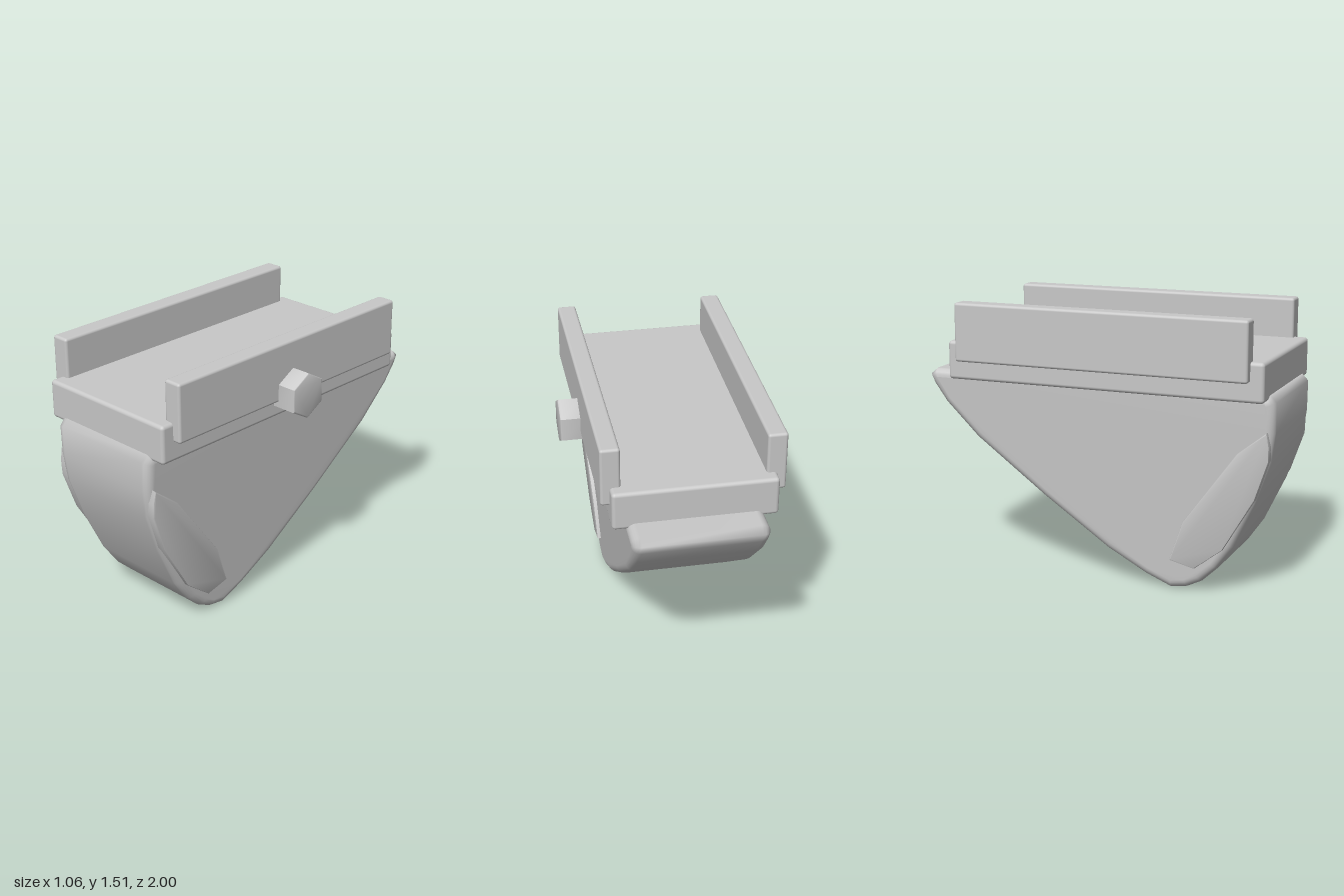
import * as THREE from 'three';
import { mergeVertices, toCreasedNormals } from 'three/addons/utils/BufferGeometryUtils.js';
import { RoundedBoxGeometry } from 'three/addons/geometries/RoundedBoxGeometry.js';

const MID_X = -0.053; // symmetry plane of the body
const HALF = 0.335;   // body half width before the taper

// Bevelled slab from a [z, y] outline, spanning x0 to x1
function slab(outline, x0, x1, bevel, segments) {
  const shape = new THREE.Shape(outline.map(([z, y]) => new THREE.Vector2(-z, y)));
  const geo = new THREE.ExtrudeGeometry(shape, {
    depth: x1 - x0 - 2 * bevel, bevelEnabled: true, bevelThickness: bevel,
    bevelSize: bevel, bevelOffset: -bevel, bevelSegments: segments,
  });
  geo.rotateY(Math.PI / 2);
  geo.translate(x0 + bevel, 0, 0);
  return geo;
}

// Narrow a slab towards the bottom
function taper(geo) {
  const p = geo.attributes.position;
  for (let i = 0; i < p.count; i++) {
    p.setX(i, MID_X + p.getX(i) * (0.31 + 0.041 * p.getY(i)) / HALF);
  }
  return geo;
}

// Area-weighted smooth normals: flat sides, soft bevels
function soften(geo) {
  geo.deleteAttribute('normal');
  geo.deleteAttribute('uv');
  const merged = mergeVertices(geo, 1e-4);
  merged.computeVertexNormals();
  return merged;
}

export function createModel() {
  const group = new THREE.Group();
  const grey = new THREE.MeshStandardMaterial({ color: 0xc8c8c8 });
  grey.name = 'lightGrey';

  const add = (name, geo, x = 0, y = 0, z = 0) => {
    const mesh = new THREE.Mesh(geo, grey);
    mesh.name = name;
    mesh.position.set(x, y, z);
    group.add(mesh);
  };
  const box = (name, x0, x1, y0, y1, z0, z1, r) => add(name,
    new RoundedBoxGeometry(x1 - x0, y1 - y0, z1 - z0, 3, r),
    (x0 + x1) / 2, (y0 + y1) / 2, (z0 + z1) / 2);

  // Wedge-shaped body
  const bodyOutline = [
    [0.965, 1.112], [1, 1.075], [1, 0.915], [0.98, 0.755], [0.9, 0.525], [0.78, 0.27],
    [0.69, 0.14], [0.6, 0.055], [0.52, 0.015], [0.425, 0], [0.28, 0.06], [0.06, 0.18],
    [-0.315, 0.44], [-0.715, 0.74], [-0.905, 0.93], [-0.975, 1.03], [-1, 1.085], [-0.96, 1.118],
  ];
  add('body', soften(taper(slab(bodyOutline, -HALF, HALF, 0.045, 5))));

  // Raised cheek plates on both sides
  const plateOutline = [
    [0.968, 0.925], [0.98, 0.85], [0.978, 0.77], [0.905, 0.555], [0.73, 0.26],
    [0.57, 0.135], [0.43, 0.17], [0.51, 0.395], [0.81, 0.8],
  ];
  for (const [name, x0, x1] of [
    ['leftCheekPlate', HALF - 0.05, HALF + 0.022],
    ['rightCheekPlate', -HALF - 0.022, -HALF + 0.05],
  ]) {
    add(name, toCreasedNormals(taper(slab(plateOutline, x0, x1, 0.008, 2)), 0.5));
  }

  // Mounting platform and its two rails
  box('platform', -0.482, 0.375, 1.085, 1.297, -0.83, 0.965, 0.02);
  box('leftRail', 0.318, 0.422, 1.193, 1.515, -0.762, 0.892, 0.015);
  box('rightRail', -0.531, -0.427, 1.193, 1.515, -0.762, 0.892, 0.015);

  // Hexagonal bolt head on the left rail
  const hex = Array.from({ length: 6 }, (_, i) => {
    const a = Math.PI / 2 - i * Math.PI / 3;
    return [0.068 - 0.128 * Math.cos(a), 1.229 + 0.128 * Math.sin(a)];
  });
  add('bolt', toCreasedNormals(slab(hex, 0.383, 0.53, 0.008, 2), 0.8));

  return group;
}
